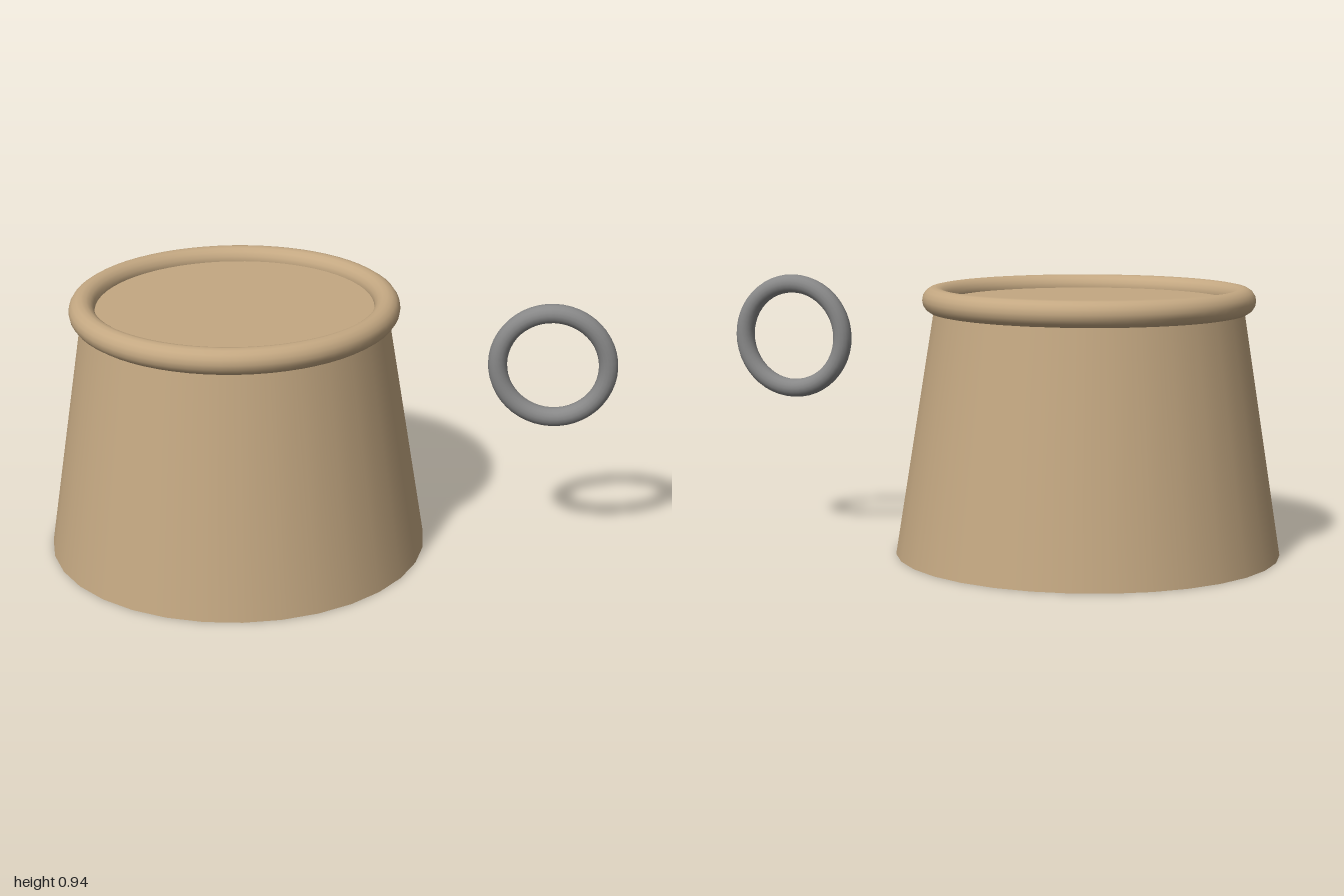
import * as THREE from 'three';

export function createModel() {
  const group = new THREE.Group();
  const tan = new THREE.MeshStandardMaterial({ name: 'tan', color: 0xc4a882 });
  const grey = new THREE.MeshStandardMaterial({ name: 'grey', color: 0x888888 });

  const add = (name, geometry, material, x, y) => {
    const mesh = new THREE.Mesh(geometry, material);
    mesh.name = name;
    mesh.position.set(x, y, 0);
    group.add(mesh);
    return mesh;
  };

  const bodyX = -0.33, height = 0.885;

  // Tapered body, closed at both ends
  add('body', new THREE.CylinderGeometry(0.53, 0.67, height, 32), tan, bodyX, height / 2);

  // Rolled rim lying flat around the top edge
  add('rim', new THREE.TorusGeometry(0.53, 0.045, 16, 64), tan, bodyX, height).rotation.x = Math.PI / 2;

  // Separate upright ring beside the body
  add('ring', new THREE.TorusGeometry(0.19, 0.033, 16, 48), grey, 0.777, 0.722);

  return group;
}
